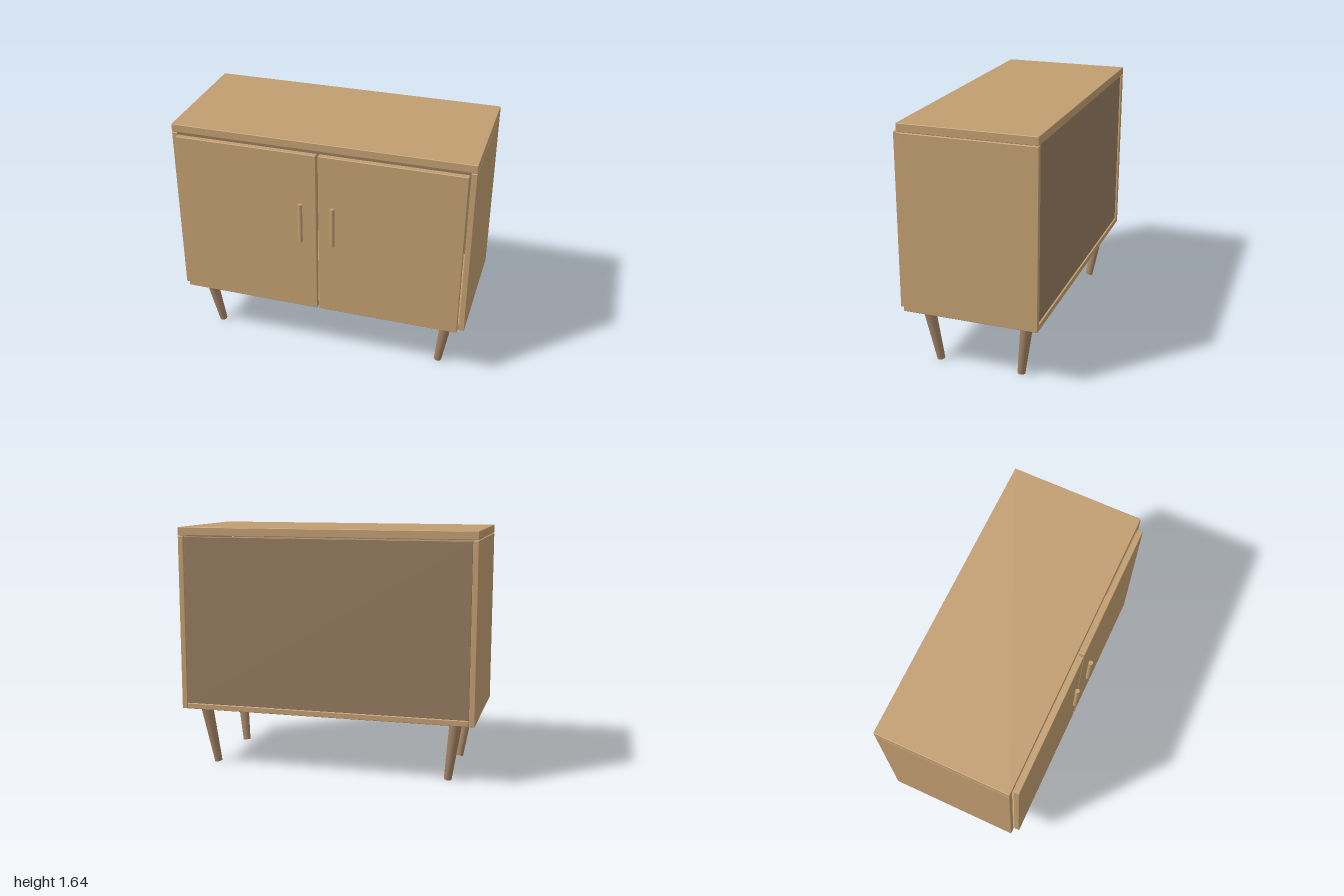
import * as THREE from 'three';
import { RoundedBoxGeometry } from 'three/addons/geometries/RoundedBoxGeometry.js';

const material = (name, color) => {
  const m = new THREE.MeshStandardMaterial({ color });
  m.name = name;
  return m;
};

export function createModel() {
  const model = new THREE.Group();
  model.name = 'cabinet';
  const wood = material('light wood', 0xc19d70);
  const backing = material('backing board', 0x947a5e);
  const legWood = material('leg wood', 0xa38365);

  const add = (name, geometry, mat) => {
    const mesh = new THREE.Mesh(geometry, mat);
    mesh.name = name;
    model.add(mesh);
    return mesh;
  };

  // Board given by its lower and upper limits, with finely eased edges
  const board = (name, [x0, x1], [y0, y1], [z0, z1], mat = wood) => {
    const geometry = new RoundedBoxGeometry(x1 - x0, y1 - y0, z1 - z0, 2, 0.004);
    add(name, geometry, mat).position.set((x0 + x1) / 2, (y0 + y1) / 2, (z0 + z1) / 2);
  };

  // Carcass: lid, floor and recessed back
  const depth = [-0.487, 0.408];
  board('topBoard', [-1, 1], [1.59, 1.645], depth);
  board('bottomBoard', [-0.962, 0.962], [0.41, 0.448], depth);
  board('backPanel', [-0.962, 0.962], [0.446, 1.583], [-0.475, -0.455], backing);

  for (const [side, s] of [['left', 1], ['right', -1]]) {
    const span = (a, b) => [a * s, b * s].sort((p, q) => p - q);
    board(side + 'SideBoard', span(0.963, 1), [0.41, 1.586], depth);

    // Door and its upright rod handle
    board(side + 'Door', span(0.007, 0.957), [0.414, 1.579], [0.412, 0.449]);
    const handle = add(side + 'Handle', new THREE.CylinderGeometry(0.015, 0.015, 0.28, 24), wood);
    handle.position.set(0.108 * s, 1.09, 0.474);

    // Tapered legs leaning inwards towards the floor
    for (const [end, topZ, footZ] of [['Front', 0.298, 0.243], ['Back', -0.378, -0.32]]) {
      const top = new THREE.Vector3(0.868 * s, 0.42, topZ);
      const foot = new THREE.Vector3(0.812 * s, 0.006, footZ);
      const axis = top.clone().sub(foot);
      const leg = add(side + end + 'Leg', new THREE.CylinderGeometry(0.042, 0.026, axis.length(), 32), legWood);
      leg.position.copy(top).add(foot).multiplyScalar(0.5);
      leg.quaternion.setFromUnitVectors(new THREE.Vector3(0, 1, 0), axis.normalize());
    }
  }
  return model;
}
